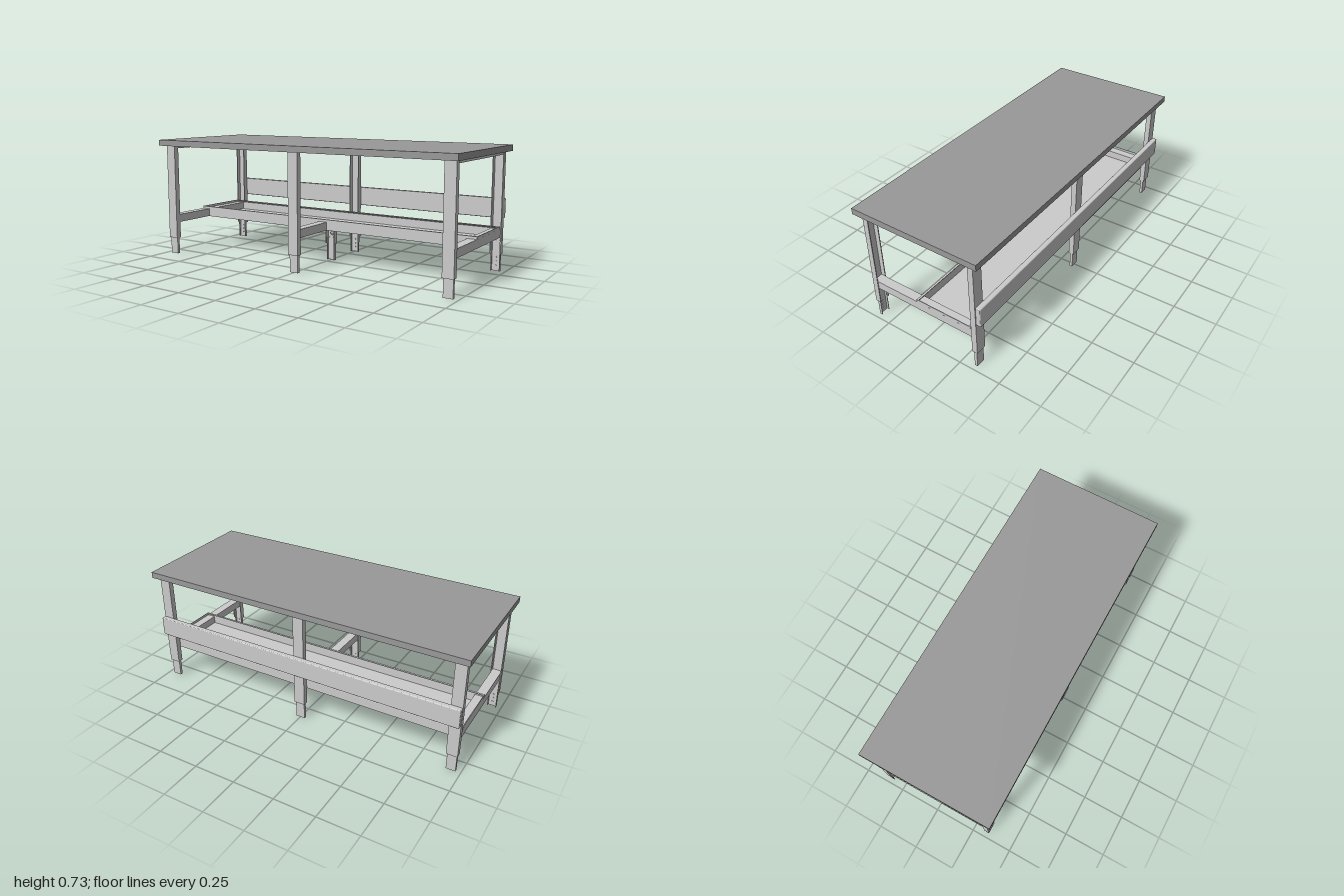
import * as THREE from 'three';
import { RoundedBoxGeometry } from 'three/addons/geometries/RoundedBoxGeometry.js';

const steel = new THREE.MeshStandardMaterial({ color: 0xcccccc, flatShading: true });
const topMat = new THREE.MeshStandardMaterial({ color: 0x999999, flatShading: true });

function add(parent, name, geometry, material = steel) {
  const mesh = new THREE.Mesh(geometry, material);
  mesh.name = name;
  parent.add(mesh);
  return mesh;
}

// Box given by its limits on each axis
function block(parent, name, [x0, x1], [y0, y1], [z0, z1], material) {
  const mesh = add(parent, name, new THREE.BoxGeometry(x1 - x0, y1 - y0, z1 - z0), material);
  mesh.position.set((x0 + x1) / 2, (y0 + y1) / 2, (z0 + z1) / 2);
  return mesh;
}

// Upright C-channel: web on z = 0, flanges reaching towards -z
function channel(w, d, t, y0, y1) {
  const h = w / 2;
  const shape = new THREE.Shape([
    [-h, 0], [h, 0], [h, d], [h - t, d], [h - t, t], [-h + t, t], [-h + t, d], [-h, d],
  ].map(([x, y]) => new THREE.Vector2(x, y)));
  const g = new THREE.ExtrudeGeometry(shape, { depth: y1 - y0, bevelEnabled: false });
  return g.rotateX(-Math.PI / 2).translate(0, y0, 0);
}

// Sliding foot nested inside the leg channel, with bolts on its inner face
function addFoot(leg) {
  add(leg, 'foot', channel(0.055, 0.017, 0.004, 0, 0.18)).position.z = -0.0075;
  for (const y of [0.03, 0.055, 0.08]) {
    const bolt = add(leg, 'footBolt', new THREE.CylinderGeometry(0.005, 0.005, 0.004, 10).rotateX(Math.PI / 2));
    bolt.position.set(0, y, -0.0125);
  }
}

function makeLeg(x, side) {
  const leg = new THREE.Group();
  leg.name = side > 0 ? 'frontLeg' : 'rearLeg';
  add(leg, 'legChannel', channel(0.065, 0.032, 0.005, 0.102, 0.69));
  addFoot(leg);
  leg.position.set(x, 0, side * 0.35);
  if (side < 0) leg.rotation.y = Math.PI;
  return leg;
}

// Short post below the shelf, with a round hole through its web
function makeCentrePost() {
  const post = new THREE.Group();
  post.name = 'centrePost';
  const web = new THREE.Shape([[-0.0325, 0.102], [0.0325, 0.102], [0.0325, 0.2], [-0.0325, 0.2]]
    .map(([x, y]) => new THREE.Vector2(x, y)));
  const hole = new THREE.Path();
  hole.absarc(0, 0.165, 0.012, 0, Math.PI * 2, true);
  web.holes.push(hole);
  add(post, 'postWeb', new THREE.ExtrudeGeometry(web, { depth: 0.005, bevelEnabled: false, curveSegments: 12 }))
    .position.z = -0.005;
  for (const s of [-1, 1]) {
    const xs = [s * 0.0275, s * 0.0325].sort((a, b) => a - b);
    block(post, 'postFlange', xs, [0.102, 0.2], [-0.032, -0.005]);
  }
  add(post, 'foot', channel(0.055, 0.017, 0.004, 0, 0.14)).position.z = -0.0075;
  post.position.z = -0.067;
  post.rotation.y = Math.PI;
  return post;
}

// Open tray: folded sheet section drawn in (z, y) and run along x, with end lips
function makeShelf() {
  const shelf = new THREE.Group();
  shelf.name = 'lowerShelf';
  const t = 0.004, f = 0.042, b = -0.315, y0 = 0.2, y1 = 0.265;
  const section = new THREE.Shape([
    [f, y0], [f, y1], [f - 0.012, y1], [f - 0.012, y1 - t], [f - t, y1 - t], [f - t, y0 + t],
    [b + t, y0 + t], [b + t, y1 - 0.012], [b + 0.01, y1 - t], [b + 0.016, y1 - t],
    [b + 0.016, y1], [b + 0.008, y1], [b + 0.002, y1 - 0.005], [b, y1 - 0.012], [b, y0],
  ].map(([z, y]) => new THREE.Vector2(-z, y)));
  const g = new THREE.ExtrudeGeometry(section, { depth: 1.94, bevelEnabled: false });
  add(shelf, 'shelfSheet', g.rotateY(Math.PI / 2).translate(-0.97, 0, 0));
  for (const x of [-0.968, 0.968]) {
    block(shelf, 'shelfEndLip', [x - 0.002, x + 0.002], [y0, y1], [b + 0.006, f - 0.001]);
  }
  return shelf;
}

export function createModel() {
  const bench = new THREE.Group();
  bench.name = 'workbench';

  block(bench, 'tableTop', [-1, 1], [0.69, 0.726], [-0.391, 0.393], topMat);

  // Three pairs of legs
  for (const x of [-0.943, 0, 0.943]) {
    for (const side of [1, -1]) bench.add(makeLeg(x, side));
  }

  // End frames: rail under the top and rail at shelf height
  for (const s of [-1, 1]) {
    const x = s * 0.943;
    block(bench, 'topRail', [x - 0.027, x + 0.027], [0.672, 0.69], [-0.345, 0.345]);
    block(bench, 'lowerRail', [x - 0.0272, x + 0.0272], [0.201, 0.25], [-0.345, 0.345]);
  }

  // Short rail from the middle front leg to the shelf
  block(bench, 'middleRail', [-0.027, 0.027], [0.201, 0.25], [0.04, 0.345]);

  bench.add(makeShelf());
  bench.add(makeCentrePost());

  // Back beam fixed across the rear legs
  const beam = add(bench, 'backBeam', new RoundedBoxGeometry(1.95, 0.115, 0.031, 3, 0.006));
  beam.position.set(0, 0.3625, -0.3655);

  return bench;
}
